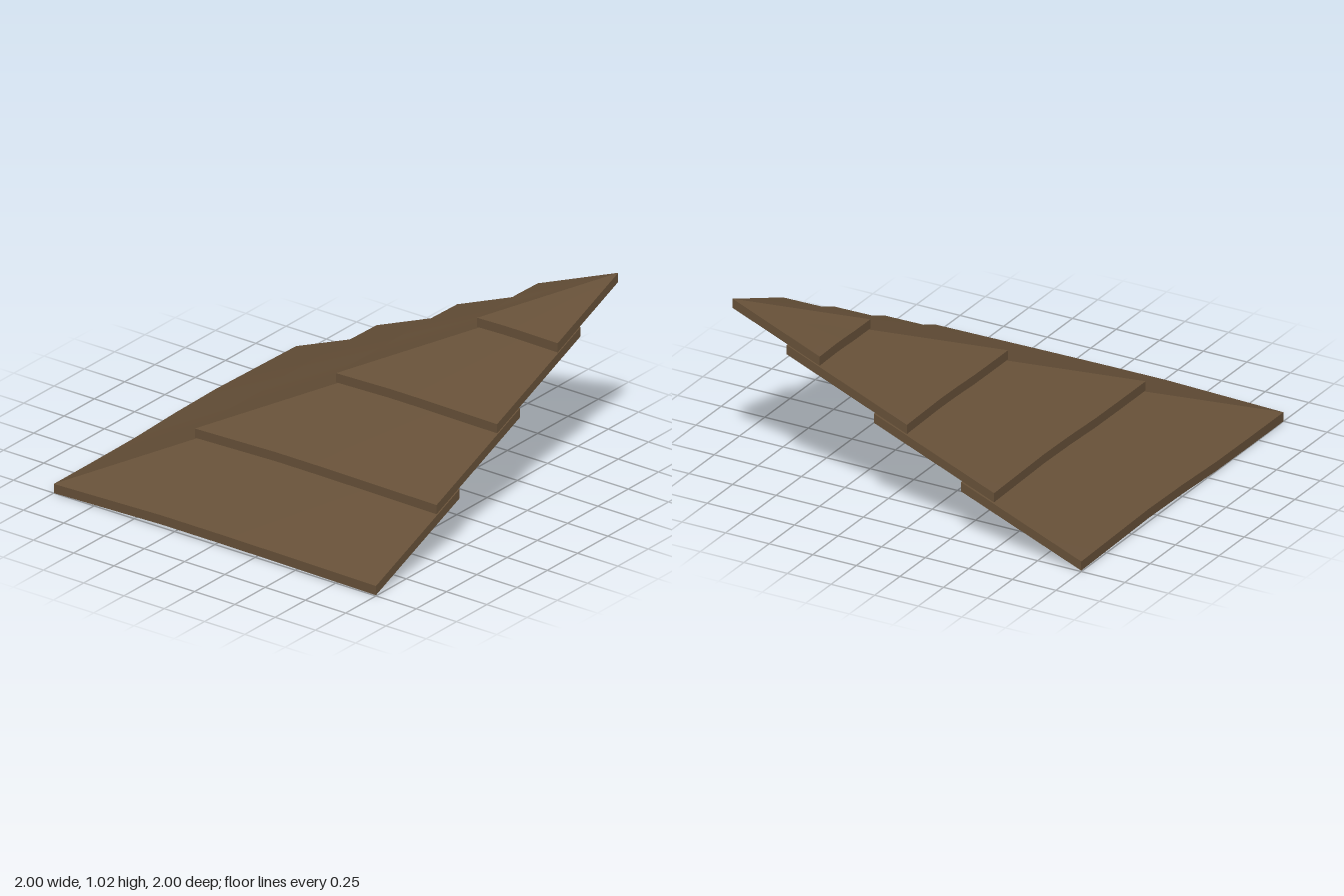
import * as THREE from 'three';
import { toCreasedNormals } from 'three/addons/utils/BufferGeometryUtils.js';

const THICK = 0.05; // vertical thickness of each sheet
const SLOPE = 0.4;
const STEP = 0.257; // rise between courses

// Slight warp of the eaves, from the hip to the open end
const SIDE_WARP = [0, 0.008, 0.016, 0.015, 0.012, 0.008, 0.004];
const BACK_WARP = [0, 0, 0.002, 0.014, 0.019, 0.012, 0.005];

// One sloping sheet: four-cornered sections swept from the hip to the open end
function wingGeometry(course, warp, mirrored) {
  const start = -1 + 0.5 * course;
  const end = Math.min(start + 0.69, 1);
  const base = STEP * course;
  const n = warp.length - 1;
  const rings = warp.map((w, i) => {
    const lift = w * (1 - start) / 2;
    const corner = (m, top) => {
      const run = m + (1 - m) * i / n;
      const y = base + SLOPE * (m - start) + (m === start ? lift : 0) + (top ? THICK : 0);
      return mirrored ? [run, y, m] : [m, y, run];
    };
    return [corner(start, false), corner(start, true), corner(end, true), corner(end, false)];
  });

  const positions = [];
  const tri = (a, b, c) => positions.push(...a, ...(mirrored ? c : b), ...(mirrored ? b : c));
  const quad = (a, b, c, d) => { tri(a, b, c); tri(a, c, d); };
  for (let i = 0; i < n; i++) {
    for (let c = 0; c < 4; c++) {
      if (c === 2 && end === 1) continue; // the top course has no upper lip
      const d = (c + 1) % 4;
      quad(rings[i][c], rings[i + 1][c], rings[i + 1][d], rings[i][d]);
    }
  }
  const last = rings[n];
  quad(last[0], last[3], last[2], last[1]); // cut end

  const geometry = new THREE.BufferGeometry();
  geometry.setAttribute('position', new THREE.Float32BufferAttribute(positions, 3));
  return toCreasedNormals(geometry, 0.4);
}

export function createModel() {
  const model = new THREE.Group();
  model.name = 'roofCorner';
  const wood = new THREE.MeshStandardMaterial({ name: 'brownWood', color: 0x665038 });

  // Four overlapping courses, each with a side and a back wing meeting at the hip
  for (let course = 0; course < 4; course++) {
    const group = new THREE.Group();
    group.name = `roofCourse${course + 1}`;
    const side = new THREE.Mesh(wingGeometry(course, SIDE_WARP, false), wood);
    side.name = 'sideWing';
    const back = new THREE.Mesh(wingGeometry(course, BACK_WARP, true), wood);
    back.name = 'backWing';
    group.add(side, back);
    model.add(group);
  }
  return model;
}
